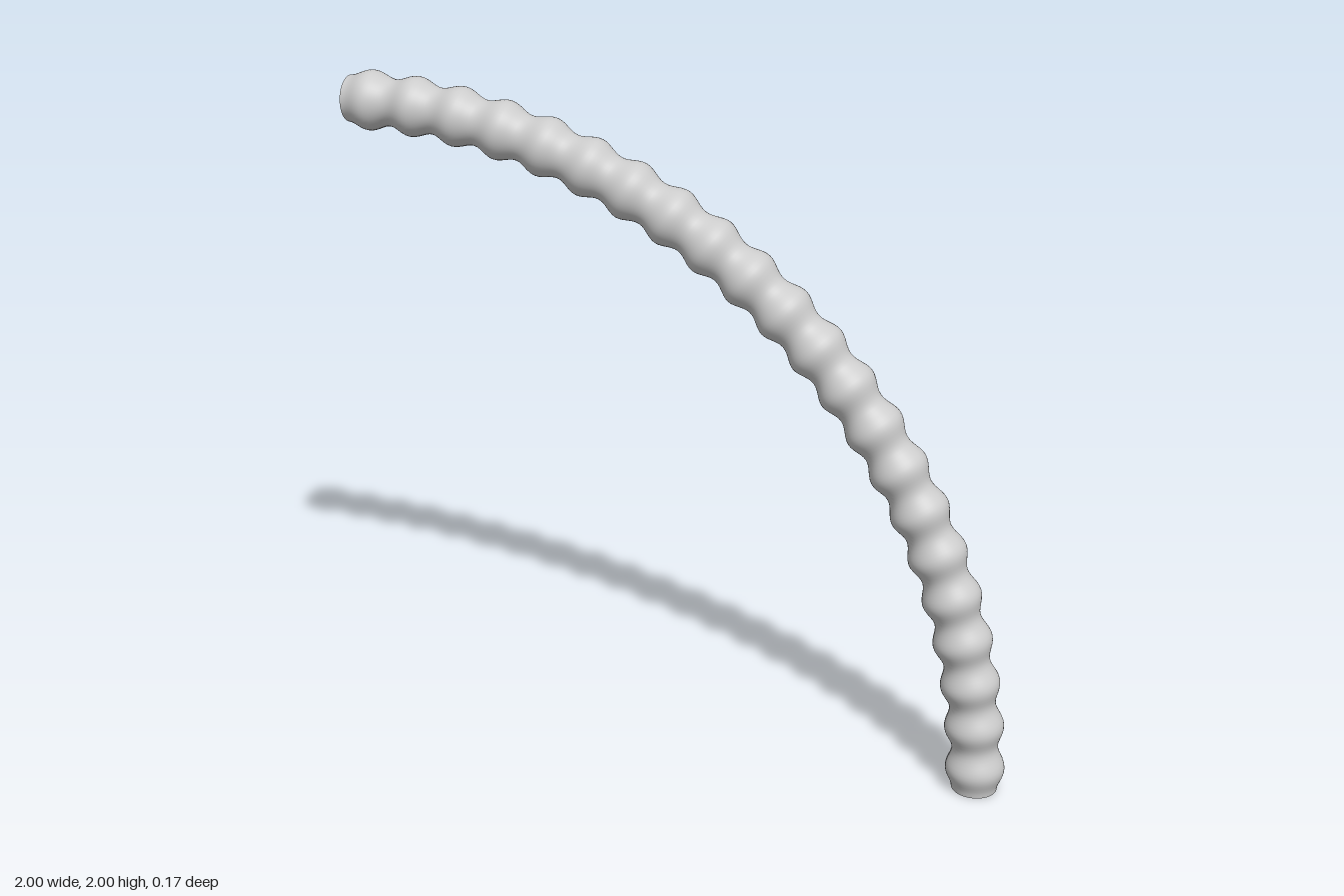
import * as THREE from 'three';
import { mergeVertices } from 'three/addons/utils/BufferGeometryUtils.js';

const BEND = 1.914;                      // radius of the quarter-circle centre line
const RIBS = 22, STEPS = 12, SIDES = 48; // bulges, rings per bulge, sides around
const NECK = 0.067, BULGE = 0.0865;      // smallest and largest hose radius

export function createModel() {
  const group = new THREE.Group();
  group.name = 'corrugatedHose';

  // Straight hose: a wavy profile turned around the y axis, open at both ends
  const length = BEND * Math.PI / 2;
  const profile = [];
  for (let i = 0; i <= RIBS * STEPS; i++) {
    const wave = (1 - Math.cos((i / STEPS) * Math.PI * 2)) / 2;
    profile.push(new THREE.Vector2(NECK + (BULGE - NECK) * wave, length * i / (RIBS * STEPS)));
  }
  const lathe = new THREE.LatheGeometry(profile, SIDES);
  lathe.deleteAttribute('uv');
  lathe.deleteAttribute('normal');
  const geometry = mergeVertices(lathe, 1e-5);

  // Bend it through 90 degrees, from the ground up and over to -x
  const p = geometry.attributes.position;
  for (let i = 0; i < p.count; i++) {
    const angle = p.getY(i) / BEND, r = BEND + p.getX(i);
    p.setXYZ(i, r * Math.cos(angle) - 1, r * Math.sin(angle), p.getZ(i));
  }
  geometry.computeVertexNormals();

  const hose = new THREE.Mesh(geometry,
    new THREE.MeshStandardMaterial({ color: 0xcccccc, side: THREE.DoubleSide }));
  hose.name = 'ribbedTube';
  group.add(hose);
  return group;
}
